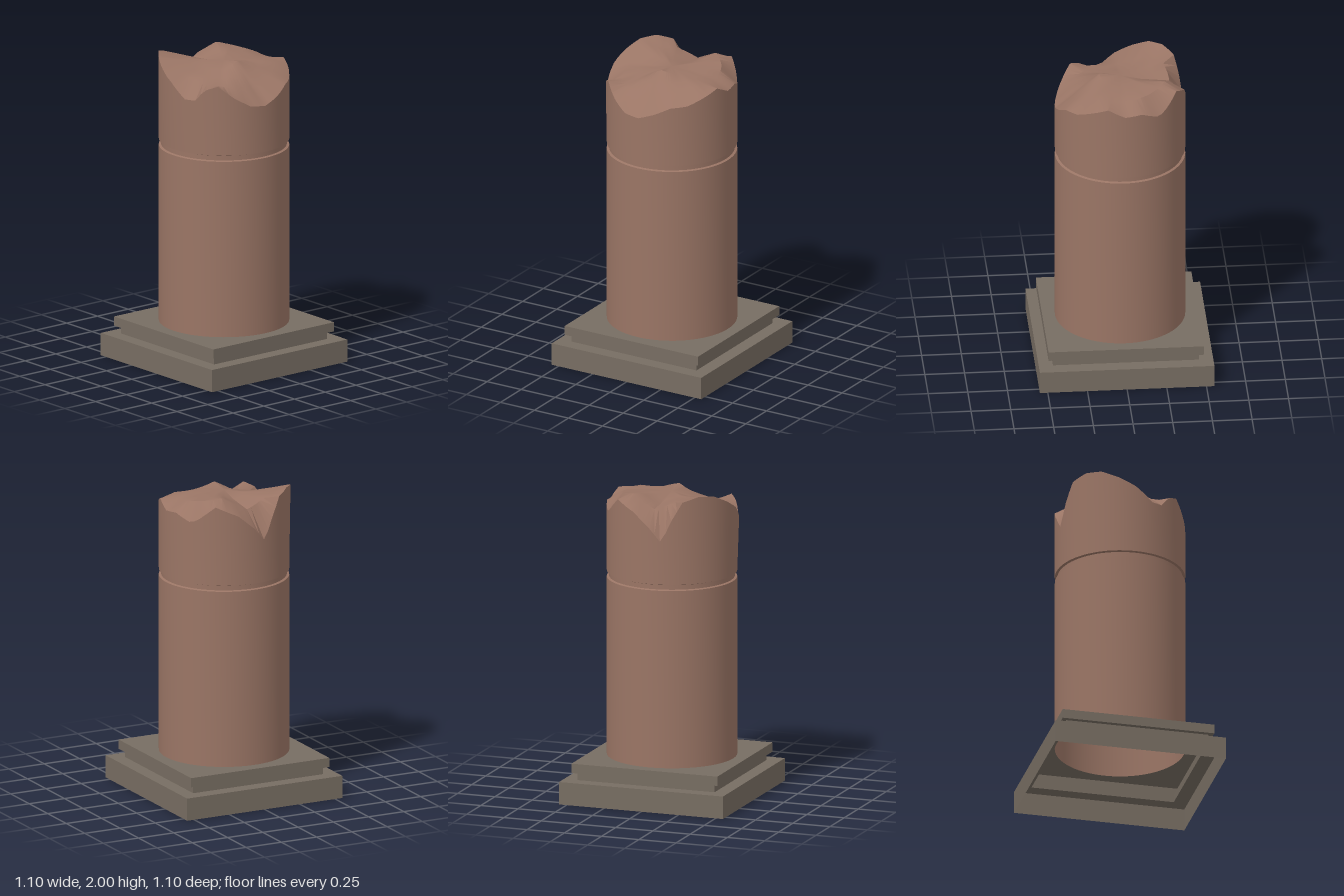
import * as THREE from 'three';
import { toCreasedNormals } from 'three/addons/utils/BufferGeometryUtils.js';

const R = 0.41;
const SEGMENTS = 72;

// Broken edge: [degrees from the front towards +x, height]
const RIM = [
  [0, 1.88], [15, 1.79], [25, 1.79], [33, 1.86], [45, 1.89], [60, 1.81], [75, 1.75],
  [90, 1.74], [105, 1.78], [120, 1.83], [135, 1.84], [150, 1.88], [165, 1.92], [180, 1.87],
  [195, 1.88], [210, 1.84], [217, 1.85], [235, 1.95], [255, 1.89], [270, 1.8], [281, 1.71],
  [290, 1.85], [300, 1.97], [315, 2], [330, 1.99], [345, 1.94], [360, 1.88],
];
// Heights of the broken top on two inner rings, evenly spaced
const ring = (...ys) => [...ys, ys[0]].map((y, i) => [(i * 360) / ys.length, y]);
const MIDDLE = ring(1.9, 1.87, 1.86, 1.82, 1.88, 1.93, 1.93, 1.95, 1.98, 1.9, 1.96, 1.97);
const INNER = ring(1.92, 1.92, 1.97, 1.95, 1.95, 1.96, 1.92, 1.95);

function heightAt(table, deg) {
  const i = Math.max(1, table.findIndex(([d]) => d >= deg));
  const [d0, y0] = table[i - 1];
  const [d1, y1] = table[i];
  return y0 + ((y1 - y0) * (deg - d0)) / (d1 - d0);
}

// Closed loops joined row by row; each row gives [radius, height] at an angle
function loft(rows) {
  const positions = [];
  const index = [];
  rows.forEach((row, k) => {
    for (let i = 0; i < SEGMENTS; i++) {
      const deg = (i * 360) / SEGMENTS;
      const a = THREE.MathUtils.degToRad(deg);
      const [r, y] = row(deg, a);
      positions.push(r * Math.sin(a), y, r * Math.cos(a));
      if (k === 0) continue;
      const j = (i + 1) % SEGMENTS;
      const lo = (k - 1) * SEGMENTS;
      const hi = k * SEGMENTS;
      index.push(lo + i, lo + j, hi + i, lo + j, hi + j, hi + i);
    }
  });
  const g = new THREE.BufferGeometry();
  g.setAttribute('position', new THREE.Float32BufferAttribute(positions, 3));
  g.setIndex(index);
  g.computeVertexNormals();
  return g;
}

const profile = (points) => points.map(([x, y]) => new THREE.Vector2(x, y));

export function createModel() {
  const group = new THREE.Group();
  const redStone = new THREE.MeshStandardMaterial({ color: 0x9a7565, side: THREE.DoubleSide });
  redStone.name = 'red stone';
  const greyStone = new THREE.MeshStandardMaterial({ color: 0x776d62, side: THREE.DoubleSide });
  greyStone.name = 'grey stone';

  const add = (name, geometry, material) => {
    const mesh = new THREE.Mesh(geometry, material);
    mesh.name = name;
    group.add(mesh);
    return mesh;
  };

  // Stepped square base, hollow underneath
  const steps = [[0.55, 0], [0.55, 0.145], [0.46, 0.145], [0.46, 0.195], [0.49, 0.195], [0.49, 0.255]];
  const stepped = new THREE.LatheGeometry(
    profile(steps.map(([half, y]) => [half * Math.SQRT2, y])), 4, Math.PI / 4);
  add('steppedBase', toCreasedNormals(stepped, 0.5), greyStone);

  // Top slab of the base, open where the shaft stands
  const slab = new THREE.Shape(profile([[-0.49, -0.49], [0.49, -0.49], [0.49, 0.49], [-0.49, 0.49]]));
  slab.holes.push(new THREE.Path().absarc(0, 0, R, 0, Math.PI * 2, true));
  const slabGeometry = new THREE.ShapeGeometry(slab, 36);
  slabGeometry.rotateX(-Math.PI / 2);
  add('baseTop', slabGeometry, greyStone).position.y = 0.255;

  // Shaft with the groove near its top
  const shaft = new THREE.LatheGeometry(profile([
    [R, 0.255], [R, 1.4], [0.395, 1.405], [0.395, 1.435], [R, 1.44],
  ]), SEGMENTS);
  add('shaft', toCreasedNormals(shaft, 0.5), redStone);

  // Upper drum ending in the broken edge, bulging a little at the front
  const rim = (deg, a) => [R + 0.018 * Math.max(0, Math.cos(a)) ** 8, heightAt(RIM, deg)];
  add('brokenDrum', loft([() => [R, 1.44], rim]), redStone);

  // Rough broken surface
  const top = loft([
    rim,
    (deg) => [0.31, heightAt(MIDDLE, deg)],
    (deg) => [0.22, (heightAt(MIDDLE, deg) + heightAt(INNER, deg)) / 2],
    (deg) => [0.13, heightAt(INNER, deg)],
    () => [0.001, 1.95],
  ]);
  add('brokenTop', toCreasedNormals(top, 0.6), redStone);

  return group;
}
